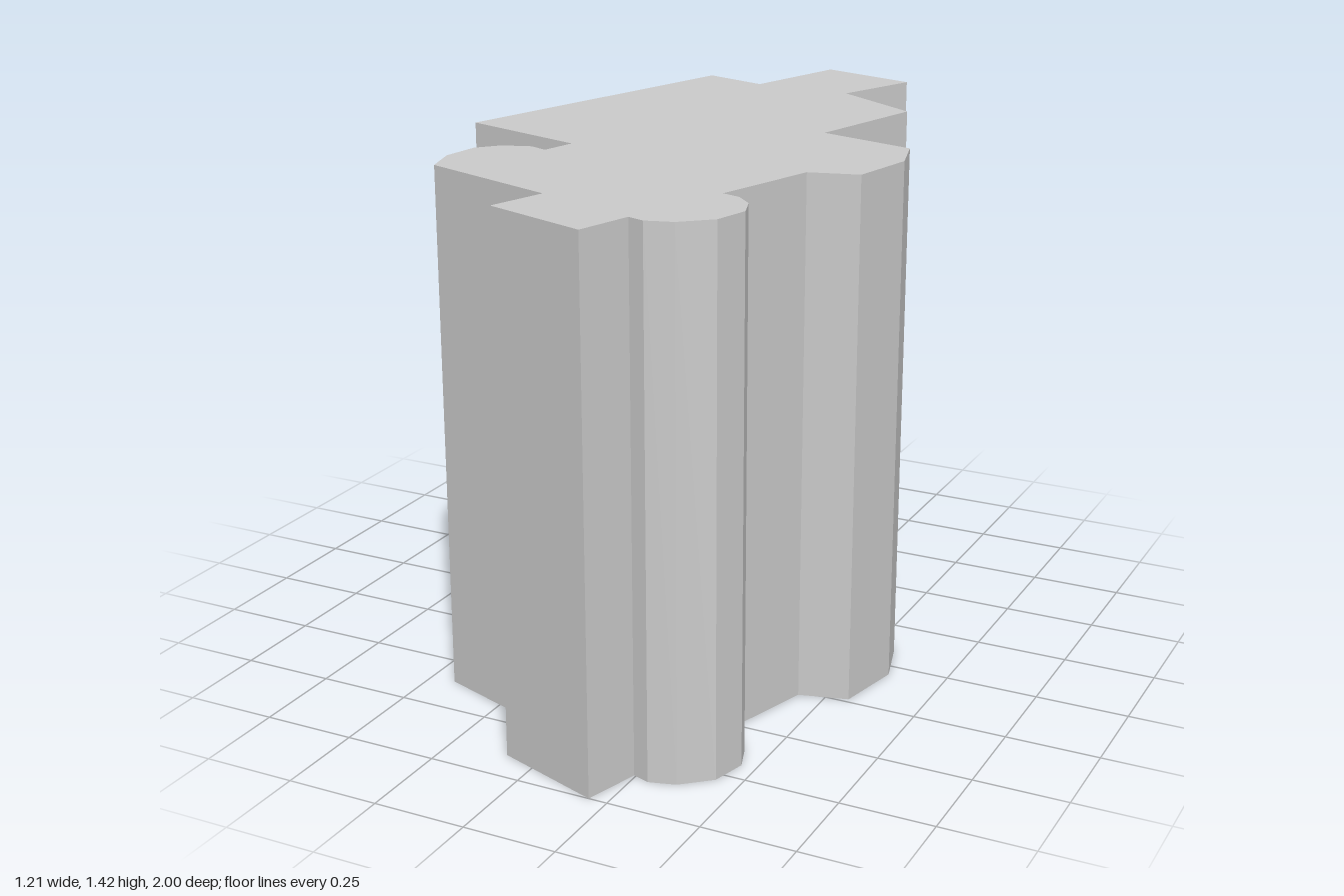
import * as THREE from 'three';

const HEIGHT = 1.42;

// Floor plan as [x, z], clockwise seen from above
const PLAN = [
  // back wing and right-angled shoulder
  [-0.05, -1], [0.23, -0.915], [0.135, -0.68], [0.385, -0.52], [0.29, -0.165],
  // side bay
  [0.56, -0.09], [0.6, 0.05], [0.56, 0.235], [0.43, 0.27],
  // rounded front turret
  [0.34, 0.555], [0.39, 0.57], [0.435, 0.615], [0.46, 0.685], [0.435, 0.78],
  [0.36, 0.845], [0.29, 0.865], [0.245, 0.85],
  // front wing
  [0.2, 1], [-0.09, 0.9], [-0.04, 0.745],
  // rounded side bay
  [-0.43, 0.61], [-0.46, 0.505], [-0.445, 0.4], [-0.395, 0.345], [-0.32, 0.32], [-0.27, 0.34],
  // main block
  [-0.245, 0.245], [-0.605, 0.135], [-0.33, -0.755], [-0.145, -0.695],
];

// One upright quad per plan edge, facing outwards
function wallGeometry(plan, height) {
  const positions = [];
  plan.forEach(([ax, az], i) => {
    const [bx, bz] = plan[(i + 1) % plan.length];
    positions.push(ax, 0, az, ax, height, az, bx, height, bz);
    positions.push(ax, 0, az, bx, height, bz, bx, 0, bz);
  });
  const geometry = new THREE.BufferGeometry();
  geometry.setAttribute('position', new THREE.Float32BufferAttribute(positions, 3));
  geometry.computeVertexNormals();
  return geometry;
}

// Flat cap over the plan
function roofGeometry(plan, height) {
  const shape = new THREE.Shape(plan.map(([x, z]) => new THREE.Vector2(x, -z)));
  return new THREE.ShapeGeometry(shape).rotateX(-Math.PI / 2).translate(0, height, 0);
}

export function createModel() {
  const group = new THREE.Group();
  group.name = 'building';
  // Open underneath, so both sides show
  const material = new THREE.MeshStandardMaterial({
    color: 0xcccccc, flatShading: true, side: THREE.DoubleSide,
  });
  const parts = { walls: wallGeometry(PLAN, HEIGHT), flatRoof: roofGeometry(PLAN, HEIGHT) };
  for (const [name, geometry] of Object.entries(parts)) {
    const mesh = new THREE.Mesh(geometry, material);
    mesh.name = name;
    group.add(mesh);
  }
  return group;
}
